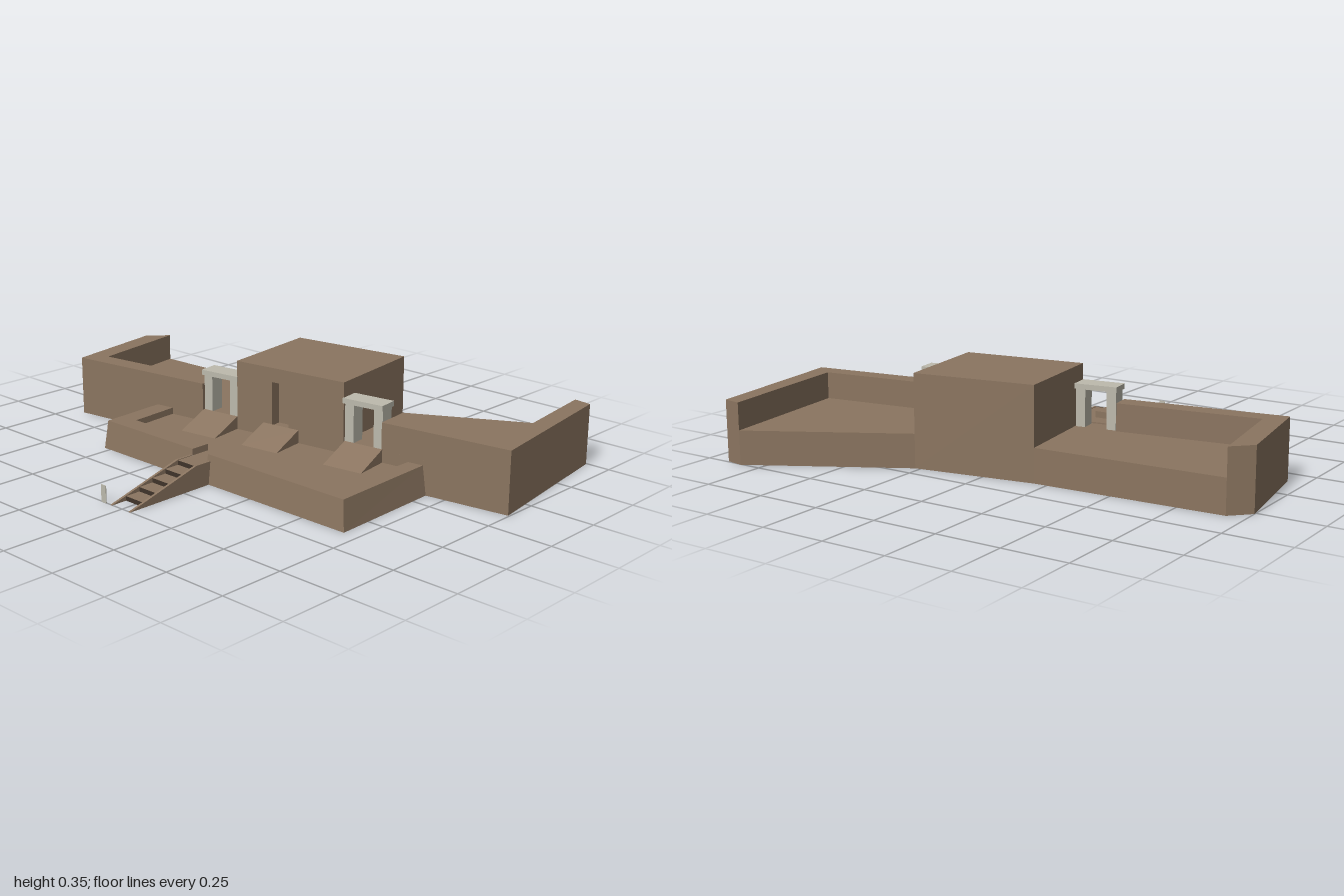
import * as THREE from 'three';

const earth = new THREE.MeshStandardMaterial({ color: 0x8b7560, side: THREE.DoubleSide });
earth.name = 'earth brown';
const stone = new THREE.MeshStandardMaterial({ color: 0xbdbaad, side: THREE.DoubleSide });
stone.name = 'pale stone';
const shade = new THREE.MeshStandardMaterial({ color: 0x3f342a });
shade.name = 'dark riser';

const FLOOR = 0.13, WALL = 0.235, ROOF = 0.355, TERRACE = 0.085, RIM = 0.11;
const ANGLE = 0.142;                          // the building is turned a little
const frontZ = x => 0.022 - 0.143 * x;        // its front line
const front = (x, d = 0) => [x - 0.141 * d, frontZ(x) - 0.99 * d];

function add(parent, name, geometry, material = earth) {
  const mesh = new THREE.Mesh(geometry, material);
  mesh.name = name;
  parent.add(mesh);
  return mesh;
}

// wall surface along a path of [x, z] points, optionally leaning to a second path
function wall(path, y0, y1, topPath = path) {
  const pos = [];
  for (let i = 0; i < path.length - 1; i++) {
    const [a, b, c, d] = [path[i], path[i + 1], topPath[i + 1], topPath[i]];
    pos.push(a[0], y0, a[1], b[0], y0, b[1], c[0], y1, c[1]);
    pos.push(a[0], y0, a[1], c[0], y1, c[1], d[0], y1, d[1]);
  }
  const g = new THREE.BufferGeometry();
  g.setAttribute('position', new THREE.Float32BufferAttribute(pos, 3));
  g.computeVertexNormals();
  return g;
}

// horizontal surface bounded by [x, z] points
function deck(points, y) {
  const shape = new THREE.Shape(points.map(([x, z]) => new THREE.Vector2(x, -z)));
  return new THREE.ShapeGeometry(shape).rotateX(-Math.PI / 2).translate(0, y, 0);
}

// solid side profile of [z, y] points, extruded across x and centred
function sideProfile(points, width) {
  const shape = new THREE.Shape(points.map(([z, y]) => new THREE.Vector2(-z, y)));
  return new THREE.ExtrudeGeometry(shape, { depth: width, bevelEnabled: false })
    .translate(0, 0, -width / 2).rotateY(Math.PI / 2);
}

function box(w, h, d, x, y, z) {
  return new THREE.BoxGeometry(w, h, d).translate(x, y, z);
}

// group standing on the front line, turned with the building
function onFront(root, name, x) {
  const g = new THREE.Group();
  g.name = name;
  g.position.set(x, 0, frontZ(x));
  g.rotation.y = ANGLE;
  root.add(g);
  return g;
}

export function createModel() {
  const root = new THREE.Group();
  root.name = 'earthenBuilding';

  // outline corners
  const A = [-1, -0.26], B = [-0.93, -0.33], C = [-0.2, -0.365], D = [0.27, -0.44];
  const E = [0.835, -0.755], F = [0.905, -0.745], G = [0.995, -0.12], H = [-0.93, 0.155];
  const K1 = front(-0.145), K2 = front(0.33);
  const S1 = front(-0.31), S2 = front(0.49);

  // wings: low deck with a parapet along the front and the end
  const wings = [
    { name: 'rightWing', outer: [B, A, H, S1], inner: [S1, front(-0.31, 0.075), [-0.865, 0.07], B], sill: [S1, K1], back: [C, B], floor: [B, A, H, K1, C] },
    { name: 'leftWing', outer: [S2, G, F, E], inner: [E, [0.91, -0.18], front(0.49, 0.075), S2], sill: [K2, S2], back: [E, D], floor: [K2, G, F, E, D] },
  ];
  for (const w of wings) {
    const g = new THREE.Group();
    g.name = w.name;
    root.add(g);
    add(g, 'outerWall', wall(w.outer, 0, WALL));
    add(g, 'innerParapet', wall(w.inner, FLOOR, WALL));
    add(g, 'parapetTop', deck([...w.outer, ...w.inner.slice(1, -1)], WALL));
    add(g, 'gateSill', wall(w.sill, 0, FLOOR));
    add(g, 'backWall', wall(w.back, 0, FLOOR));
    add(g, 'wingFloor', deck(w.floor, FLOOR));
  }

  // central block
  add(root, 'blockSideRight', wall([C, K1], FLOOR, ROOF));
  add(root, 'blockSideLeft', wall([K2, D], FLOOR, ROOF));
  add(root, 'blockBack', wall([D, C], 0, ROOF));
  add(root, 'blockRoof', deck([C, K1, K2, D], ROOF));
  add(root, 'blockFloor', deck([C, K1, K2, D], FLOOR));

  // block front with a recessed doorway
  const facade = onFront(root, 'blockFront', 0.0925);
  const face = new THREE.Shape();
  face.moveTo(-0.24, 0).lineTo(0.24, 0).lineTo(0.24, ROOF).lineTo(-0.24, ROOF).closePath();
  const hole = new THREE.Path();
  hole.moveTo(-0.078, FLOOR).lineTo(-0.078, 0.3).lineTo(-0.002, 0.3).lineTo(-0.002, FLOOR).closePath();
  face.holes.push(hole);
  add(facade, 'frontWall', new THREE.ExtrudeGeometry(face, { depth: 0.045, bevelEnabled: false }).translate(0, 0, -0.045));
  add(facade, 'doorPanel', box(0.1, 0.19, 0.006, -0.04, 0.22, -0.048));

  // stone gates between block and wings
  for (const [name, x, top] of [['rightGate', -0.226, 0.293], ['leftGate', 0.411, 0.298]]) {
    const gate = onFront(root, name, x);
    for (const s of [-1, 1])
      add(gate, 'gatePost', box(0.037, top - 0.02 - FLOOR, 0.06, s * 0.061, (top - 0.02 + FLOOR) / 2, -0.036), stone);
    add(gate, 'lintel', box(0.168, 0.02, 0.078, 0, top - 0.01, -0.034), stone);
  }

  // short ramps from the terrace up to each doorway
  for (const x of [-0.225, 0.055, 0.415]) {
    const ramp = onFront(root, 'doorRamp', x);
    add(ramp, 'rampWedge', sideProfile([[0, TERRACE], [0, 0.135], [0.14, TERRACE]], 0.16));
  }

  // terrace with battered walls, low rim and a gap for the stairs
  const terrace = new THREE.Group();
  terrace.name = 'terrace';
  root.add(terrace);
  const gapL = -0.05, gapR = 0.03, zb = 0.38, zt = 0.367;
  const rims = [
    { bottom: [[-0.545, 0.1], [-0.53, zb], [gapL, zb]], top: [[-0.535, 0.099], [-0.52, zt], [gapL, zt]], inner: [[gapL, 0.29], [-0.445, 0.29], [-0.46, 0.088]] },
    { bottom: [[gapR, zb], [0.69, zb], [0.675, -0.075]], top: [[gapR, zt], [0.675, zt], [0.66, -0.072]], inner: [[0.6, -0.064], [0.595, 0.29], [gapR, 0.29]] },
  ];
  for (const r of rims) {
    const last = r.top[2], first = r.top[0];
    add(terrace, 'terraceWall', wall(r.bottom, 0, RIM, r.top));
    add(terrace, 'rimTop', deck([...r.top, ...r.inner], RIM));
    add(terrace, 'rimInside', wall([last, ...r.inner, first], TERRACE, RIM));
  }
  add(terrace, 'gapWall', wall([[gapL, zb], [gapR, zb]], 0, TERRACE, [[gapL, zt], [gapR, zt]]));
  add(terrace, 'terraceFloor', deck([[-0.535, 0.099], [-0.52, zt], [0.675, zt], [0.66, -0.072]], TERRACE));

  // entrance stairs between sloping side walls
  const stairs = new THREE.Group();
  stairs.name = 'entranceStairs';
  root.add(stairs);
  const slope = [[0.37, 0], [0.37, 0.087], [0.44, 0.087], [0.752, 0]];
  for (const x of [-0.055, 0.04])
    add(stairs, 'stairSide', sideProfile(slope, 0.01).translate(x, 0, 0));
  const steps = 5, rise = 0.085 / steps, run = 0.31 / steps;
  for (let i = 0; i < steps; i++) {
    const zFront = 0.75 - run * (i + 1);
    const depth = i === steps - 1 ? zFront - 0.365 : run;
    add(stairs, 'step', box(0.085, rise, depth, -0.0075, rise * (i + 0.5), zFront - depth / 2),
      [earth, earth, earth, earth, shade, earth]);
  }

  // small marker slab beside the stairs
  add(root, 'markerSlab', box(0.025, 0.065, 0.003, -0.093, 0.0325, 0.752), stone);

  return root;
}
